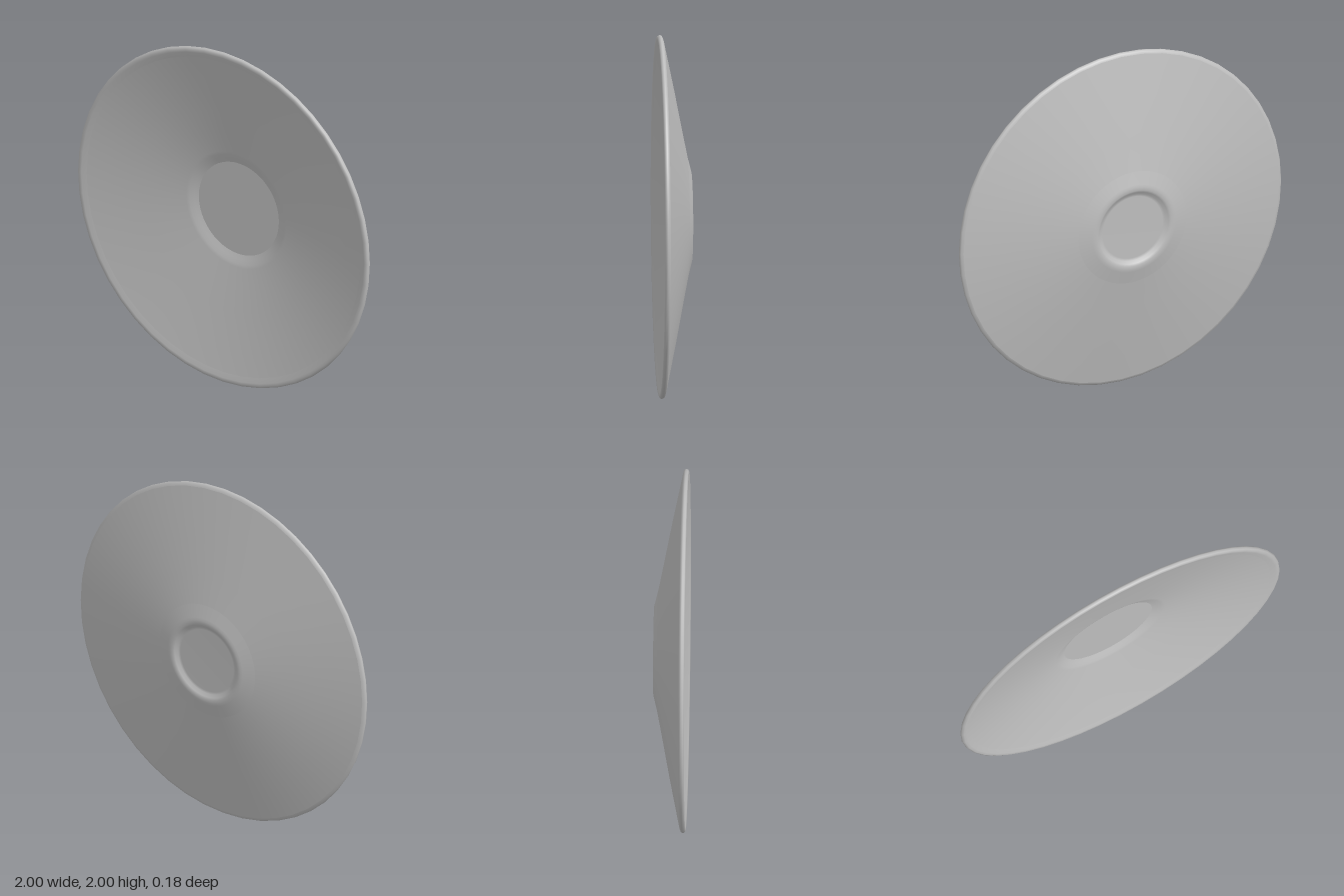
import * as THREE from 'three';

const SEGMENTS = 48;

export function createModel() {
  const model = new THREE.Group();
  model.name = 'saucer';
  const glaze = new THREE.MeshStandardMaterial({ color: 0xbebebe });
  glaze.name = 'grey glaze';

  // Profiles are [radius, depth], turned about the saucer's axis
  const turn = (name, profile) => {
    const points = profile.map(([r, d]) => new THREE.Vector2(r, d));
    const geometry = new THREE.LatheGeometry(points, SEGMENTS);
    geometry.rotateX(Math.PI / 2); // axis now points to the front
    const mesh = new THREE.Mesh(geometry, glaze);
    mesh.name = name;
    mesh.position.y = 1;
    model.add(mesh);
  };

  // Recessed underside with its foot ring
  turn('footRing', [
    [0, -0.072], [0.185, -0.072], [0.2, -0.075], [0.215, -0.087],
    [0.228, -0.092], [0.247, -0.092], [0.262, -0.088], [0.335, -0.07],
  ]);

  // Sloping back of the dish
  turn('back', [[0.335, -0.07], [0.5, -0.037], [0.7, 0.002], [0.98, 0.06]]);

  // Rounded lip
  turn('rim', [
    [0.98, 0.06], [0.993, 0.065], [1, 0.075], [0.996, 0.086],
    [0.985, 0.092], [0.97, 0.09], [0.94, 0.082],
  ]);

  // Sloping front, stepping down into the well
  turn('dish', [
    [0.94, 0.082], [0.82, 0.056], [0.6, 0.012], [0.345, -0.034],
    [0.325, -0.039], [0.3, -0.049], [0.275, -0.058],
  ]);

  // Flat well where the cup stands
  turn('well', [[0.275, -0.058], [0, -0.058]]);

  return model;
}
